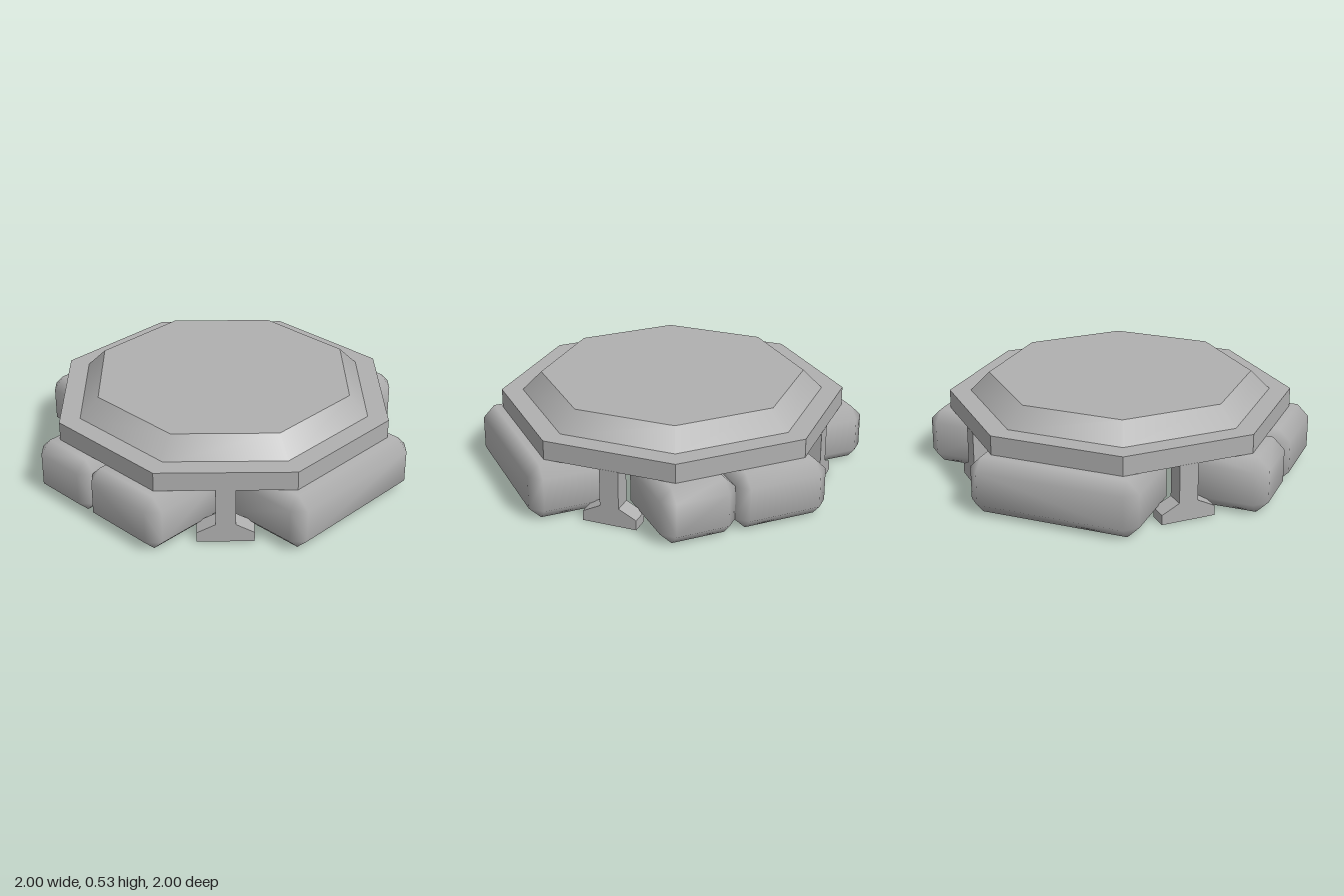
import * as THREE from 'three';
import { mergeVertices } from 'three/addons/utils/BufferGeometryUtils.js';
import { ConvexGeometry } from 'three/addons/geometries/ConvexGeometry.js';

const grey = new THREE.MeshStandardMaterial({ color: 0xb0b0b0 });
grey.name = 'plain grey';

const BLOCK_HEIGHT = 0.315;
const BEVEL = 0.065;

function addMesh(parent, name, geometry) {
  const mesh = new THREE.Mesh(geometry, grey);
  mesh.name = name;
  parent.add(mesh);
  return mesh;
}

// Box with all edges chamfered and softly blended normals
function chamferedBox(w, h, d, b) {
  const points = [];
  for (const sx of [-1, 1]) for (const sy of [-1, 1]) for (const sz of [-1, 1]) {
    const x = w / 2, y = h / 2, z = d / 2;
    points.push(new THREE.Vector3(sx * x, sy * (y - b), sz * (z - b)));
    points.push(new THREE.Vector3(sx * (x - b), sy * y, sz * (z - b)));
    points.push(new THREE.Vector3(sx * (x - b), sy * (y - b), sz * z));
  }
  let geometry = new ConvexGeometry(points);
  geometry.deleteAttribute('normal');
  geometry = mergeVertices(geometry, 1e-4);
  geometry.computeVertexNormals();
  return geometry;
}

// Octagonal ring section given by its flat-to-centre distances
function octagon(topApothem, bottomApothem, y0, y1) {
  const k = 1 / Math.cos(Math.PI / 8);
  const geometry = new THREE.CylinderGeometry(
    topApothem * k, bottomApothem * k, y1 - y0, 8, 1, false, Math.PI / 8);
  geometry.translate(0, (y0 + y1) / 2, 0);
  return geometry;
}

function addBlock(parent, name, x0, x1, z0, z1) {
  const mesh = addMesh(parent, name, chamferedBox(x1 - x0, BLOCK_HEIGHT, z1 - z0, BEVEL));
  mesh.position.set((x0 + x1) / 2, BLOCK_HEIGHT / 2, (z0 + z1) / 2);
}

export function createModel() {
  const model = new THREE.Group();
  model.name = 'octagonalPlatform';

  // Deck: flat-sided rim with a sloped top
  const rim = octagon(0.895, 0.895, 0.315, 0.422).toNonIndexed();
  rim.computeVertexNormals();
  addMesh(model, 'rim', rim);
  addMesh(model, 'slopedDeck', octagon(0.685, 0.787, 0.42, 0.53));

  // Cushion blocks: a single long one each side, an uneven pair front and back
  for (const [i, end] of ['front', 'back'].entries()) {
    const pair = new THREE.Group();
    pair.name = end + 'Blocks';
    pair.rotation.y = i * Math.PI;
    addBlock(pair, end + 'SmallBlock', -0.475, -0.05, 0.47, 1);
    addBlock(pair, end + 'LargeBlock', -0.06, 0.475, 0.47, 1);
    model.add(pair);
  }
  addBlock(model, 'leftBlock', 0.47, 1, -0.475, 0.475);
  addBlock(model, 'rightBlock', -1, -0.47, -0.475, 0.475);

  // Legs: narrow posts with flared feet, flush with the diagonal rim faces
  const half = [[0.152, 0], [0.152, 0.055], [0.053, 0.105], [0.053, 0.318]];
  const outline = [...half, ...half.map(([x, y]) => [-x, y]).reverse()];
  const legGeometry = new THREE.ExtrudeGeometry(
    new THREE.Shape(outline.map(([x, y]) => new THREE.Vector2(x, y))),
    { depth: 0.106, bevelEnabled: false });
  legGeometry.translate(0, 0, 0.79);
  for (let i = 0; i < 4; i++) {
    const leg = addMesh(model, 'leg' + (i + 1), legGeometry);
    leg.rotation.y = Math.PI / 4 + i * Math.PI / 2;
  }
  return model;
}
